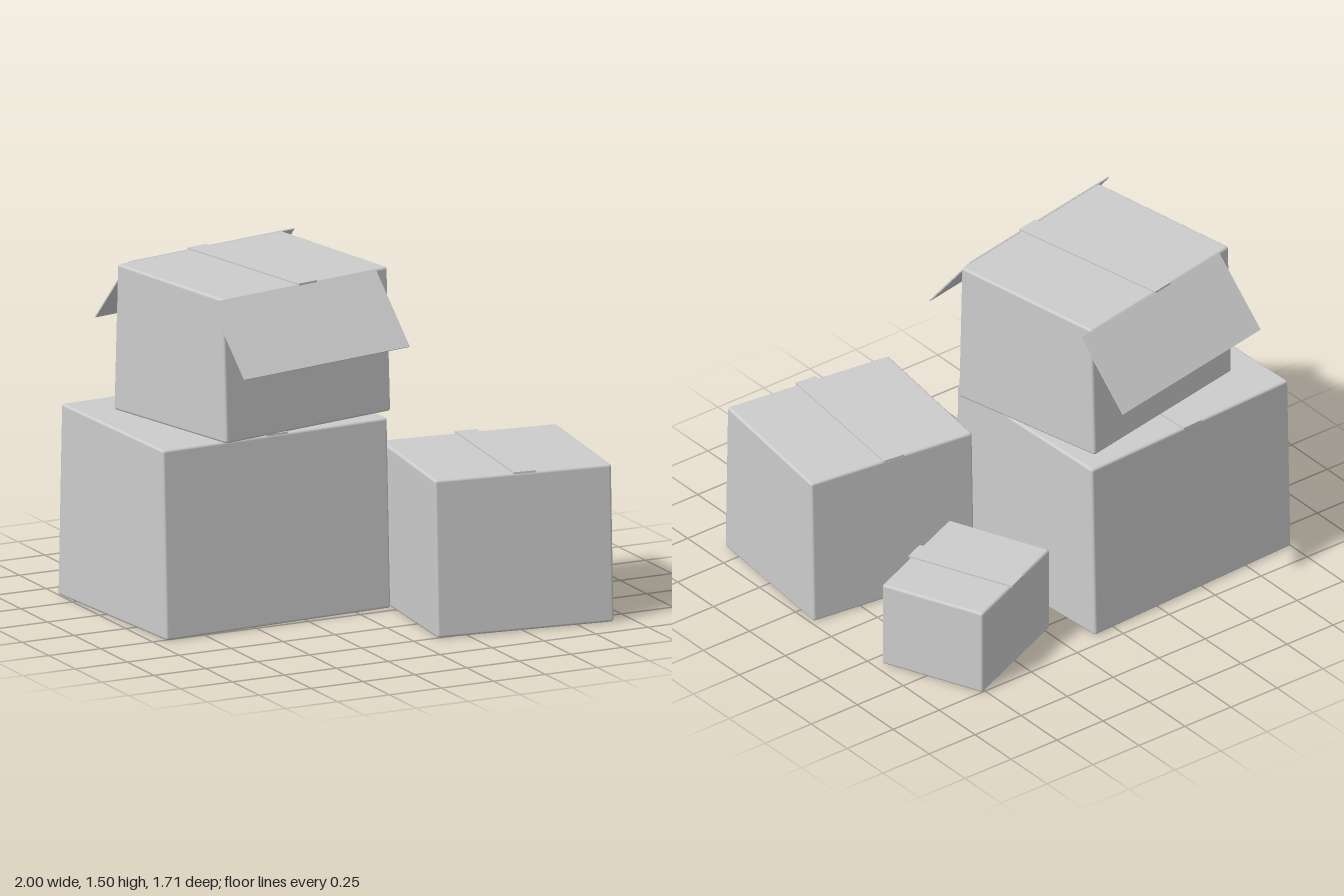
import * as THREE from 'three';
import { RoundedBoxGeometry } from 'three/addons/geometries/RoundedBoxGeometry.js';

const cardboard = new THREE.MeshStandardMaterial({ color: 0xcccccc });
cardboard.name = 'cardboard';

// Soft-edged carton whose sides lean slightly: front and back slide opposite ways in x
function cartonGeometry(w, h, d, lean) {
  const geo = new RoundedBoxGeometry(w, h, d, 2, 0.012);
  const p = geo.attributes.position;
  for (let i = 0; i < p.count; i++) {
    const slide = -lean * (p.getZ(i) / (d / 2)) * (p.getY(i) / (h / 2));
    p.setX(i, p.getX(i) + slide);
  }
  return geo;
}

// Carton with a strip of tape over its top, standing at height y
function carton(name, { w, h, d, x, y, z, yaw, lean }) {
  const group = new THREE.Group();
  group.name = name;
  group.position.set(x, y, z);
  group.rotation.y = yaw;

  const body = new THREE.Mesh(cartonGeometry(w, h, d, lean), cardboard);
  body.name = 'cartonBody';
  body.position.y = h / 2;

  const tape = new THREE.Mesh(new THREE.BoxGeometry(0.1, 0.009, d + 0.014), cardboard);
  tape.name = 'tapeStrip';
  tape.position.y = h + 0.002;

  group.add(body, tape);
  return group;
}

// Flap hanging outward from the top edge, hinged at the local origin
function flap(name, width, drop, reach) {
  const length = Math.hypot(drop, reach);
  const geo = new THREE.BoxGeometry(width, 0.006, length);
  geo.translate(0, 0, length / 2);
  geo.rotateX(Math.atan2(drop, reach));
  const mesh = new THREE.Mesh(geo, cardboard);
  mesh.name = name;
  return mesh;
}

export function createModel() {
  const model = new THREE.Group();
  model.name = 'cardboardBoxes';

  model.add(
    carton('largeBox', { w: 1.11, h: 0.845, d: 0.905, x: -0.417, y: 0, z: -0.213, yaw: 0.048, lean: 0.009 }),
    carton('mediumBox', { w: 0.806, h: 0.7, d: 0.72, x: 0.55, y: 0, z: 0.448, yaw: -0.122, lean: 0.006 }),
    carton('smallBox', { w: 0.598, h: 0.4, d: 0.492, x: 0.592, y: 0, z: -0.413, yaw: 0.404, lean: 0 })
  );

  // Upper box with two flaps folded out, each shifted sideways
  const top = carton('upperBox', { w: 0.9, h: 0.642, d: 0.755, x: -0.312, y: 0.848, z: -0.155, yaw: 0.195, lean: 0.01 });
  for (const side of [1, -1]) {
    const f = flap(side > 0 ? 'frontFlap' : 'backFlap', 0.9, 0.293, 0.235);
    f.position.set(-0.076 * side, 0.64, 0.377 * side);
    if (side < 0) f.rotation.y = Math.PI;
    top.add(f);
  }
  model.add(top);
  return model;
}
